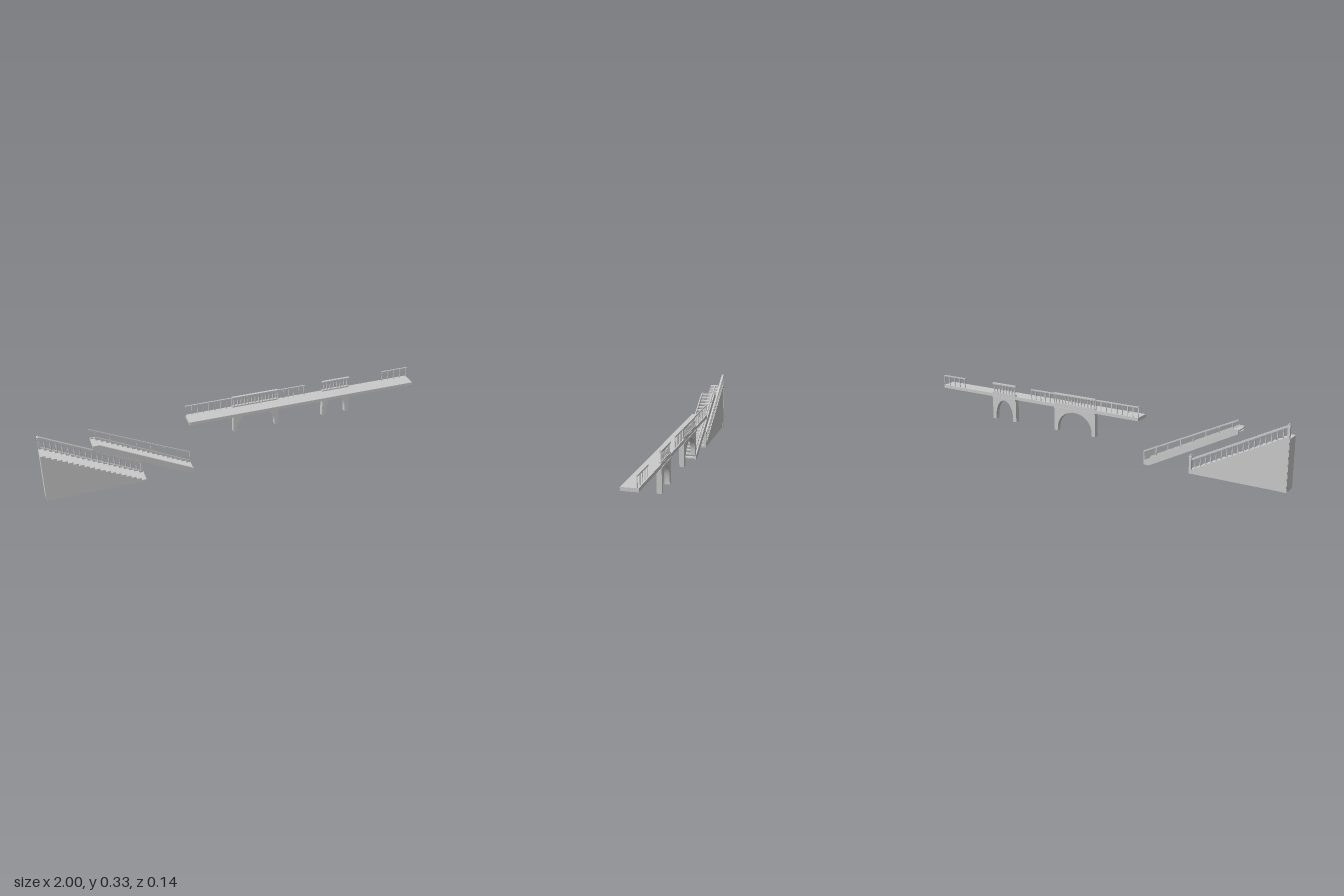
import * as THREE from 'three';

const stone = new THREE.MeshStandardMaterial({ color: 0xcacaca });
stone.name = 'pale stone';

function add(parent, geo, name, x = 0, y = 0, z = 0) {
  const m = new THREE.Mesh(geo, stone);
  m.name = name;
  m.position.set(x, y, z);
  parent.add(m);
  return m;
}

// Box given by its limits
function block(parent, name, x0, x1, y0, y1, z0, z1) {
  return add(parent, new THREE.BoxGeometry(x1 - x0, y1 - y0, z1 - z0), name,
    (x0 + x1) / 2, (y0 + y1) / 2, (z0 + z1) / 2);
}

// Side outline pushed through the depth z0..z1
function slab(parent, name, pts, z0, z1) {
  const shape = new THREE.Shape(pts.map(p => new THREE.Vector2(p[0], p[1])));
  const geo = new THREE.ExtrudeGeometry(shape, { depth: z1 - z0, bevelEnabled: false });
  return add(parent, geo, name, 0, 0, z0);
}

// Sloping bar between two ends, with vertical thickness t below the line
function slope(parent, name, x0, y0, x1, y1, t, z0, z1) {
  return slab(parent, name, [[x0, y0 - t], [x1, y1 - t], [x1, y1], [x0, y0]], z0, z1);
}

// Turned baluster
function baluster(parent, x, y, z, h) {
  const profile = [[0.0042, 0], [0.0042, 0.1], [0.0022, 0.16], [0.004, 0.38],
    [0.002, 0.72], [0.0028, 0.86], [0.0042, 0.9], [0.0042, 1]];
  const geo = new THREE.LatheGeometry(profile.map(p => new THREE.Vector2(p[0], p[1] * h)), 10);
  add(parent, geo, 'baluster', x, y, z);
}

// Square post with a cap and a ball
function newel(parent, x, top, z) {
  block(parent, 'newelPost', x - 0.006, x + 0.006, 0, top, z - 0.007, z + 0.007);
  block(parent, 'newelCap', x - 0.0075, x + 0.0075, top, top + 0.005, z - 0.008, z + 0.008);
  add(parent, new THREE.SphereGeometry(0.0042, 12, 8), 'newelBall', x, top + 0.0085, z);
}

const STEPS = 20, RUN = 0.025, RISE = 0.013;
const Z_BACK = -0.007, Z_FRONT = 0.073;

function solidStair() {
  const g = new THREE.Group();
  g.name = 'solidStair';
  // Stepped mass
  const pts = [[-1, 0], [-0.5, 0]];
  for (let i = STEPS - 1; i >= 0; i--) {
    const x = -1 + i * RUN, y = (STEPS - i) * RISE;
    pts.push([x + RUN, y], [x, y]);
  }
  slab(g, 'steps', pts, Z_BACK + 0.002, Z_FRONT);
  // Kerb, balusters and handrail along the back
  const kerb = x => 0.274 - 0.52 * (x + 1);
  const rail = x => 0.332 - 0.52 * (x + 1);
  slope(g, 'kerb', -0.99, kerb(-0.99), -0.51, kerb(-0.51), 0.016, -0.006, 0.006);
  slope(g, 'handrail', -0.99, rail(-0.99), -0.51, rail(-0.51), 0.01, -0.006, 0.006);
  const n = 17;
  for (let i = 0; i < n; i++) {
    const x = -0.967 + i * 0.434 / (n - 1);
    baluster(g, x, kerb(x) - 0.003, 0, 0.054);
  }
  newel(g, -0.9925, 0.322, 0);
  newel(g, -0.508, 0.086, 0);
  return g;
}

function openStair() {
  const g = new THREE.Group();
  g.name = 'openStair';
  // Side stringers
  const outline = [[-0.75, 0.243], [-0.28, 0], [-0.25, 0], [-0.25, 0.022], [-0.72, 0.265], [-0.75, 0.265]];
  slab(g, 'backStringer', outline, Z_BACK, Z_BACK + 0.006);
  slab(g, 'frontStringer', outline, Z_FRONT - 0.006, Z_FRONT);
  // Treads between them
  for (let i = 0; i < STEPS; i++) {
    const x = -0.75 + i * RUN, y = (STEPS - i) * RISE;
    block(g, 'tread', x, x + RUN, y - 0.006, y, Z_BACK + 0.005, Z_FRONT - 0.005);
  }
  // Thin railing at the back
  const rail = x => 0.316 - 0.484 * (x + 0.75);
  slope(g, 'handrail', -0.75, rail(-0.75), -0.25, rail(-0.25), 0.007, -0.007, -0.001);
  for (let i = 0; i < 8; i++) {
    const x = -0.252 - i * 0.067;
    const foot = Math.min(0.262, 0.02 - 0.517 * (x + 0.25));
    block(g, 'railPost', x - 0.002, x + 0.002, foot, rail(x) - 0.003, -0.006, -0.002);
  }
  return g;
}

const RAIL_Z = -0.061, DECK_TOP = 0.26;

// Thin metal railing on the deck
function thinRail(parent, x0, x1, panels) {
  block(parent, 'thinHandrail', x0, x1, 0.309, 0.315, RAIL_Z - 0.003, RAIL_Z + 0.003);
  for (let i = 0; i <= panels; i++) {
    const x = x0 + 0.002 + (x1 - x0 - 0.004) * i / panels;
    block(parent, 'thinPost', x - 0.002, x + 0.002, DECK_TOP, 0.31, RAIL_Z - 0.002, RAIL_Z + 0.002);
  }
}

// Heavy balustrade above an arch
function balustrade(parent, x0, x1, count) {
  block(parent, 'balustradePlinth', x0, x1, DECK_TOP, 0.267, RAIL_Z - 0.006, RAIL_Z + 0.006);
  block(parent, 'balustradeRail', x0, x1, 0.31, 0.318, RAIL_Z - 0.006, RAIL_Z + 0.006);
  for (let i = 0; i < count; i++) {
    baluster(parent, x0 + (i + 0.5) * (x1 - x0) / count, 0.266, RAIL_Z, 0.045);
  }
}

// Arch with two legs and a cornice on its back
function arch(parent, x0, x1) {
  const g = new THREE.Group();
  g.name = 'arch';
  const mid = (x0 + x1) / 2, half = (x1 - x0) / 2 - 0.021;
  const spring = 0.135, crown = 0.228;
  const pts = [[x0, 0.118], [x0 + 0.021, 0.118]];
  for (let i = 0; i <= 24; i++) {
    const a = Math.PI * (1 - i / 24);
    pts.push([mid + half * Math.cos(a), spring + (crown - spring) * Math.sin(a)]);
  }
  pts.push([x1 - 0.021, 0.118], [x1, 0.118], [x1, 0.244], [x0, 0.244]);
  slab(g, 'archWall', pts, -0.067, -0.042);
  block(g, 'cornice', x0, x1, 0.237, 0.246, -0.071, -0.066);
  parent.add(g);
}

function walkway() {
  const g = new THREE.Group();
  g.name = 'walkway';
  block(g, 'deck', -0.25, 1, 0.243, DECK_TOP, -0.068, 0.012);
  thinRail(g, -0.25, 0, 8);
  thinRail(g, 0.25, 0.4, 5);
  thinRail(g, 0.85, 1, 4);
  balustrade(g, 0, 0.25, 13);
  balustrade(g, 0.5, 0.655, 8);
  arch(g, 0, 0.25);
  arch(g, 0.5, 0.655);
  return g;
}

export function createModel() {
  const model = new THREE.Group();
  model.name = 'stairsAndWalkway';
  model.add(solidStair(), openStair(), walkway());
  return model;
}
